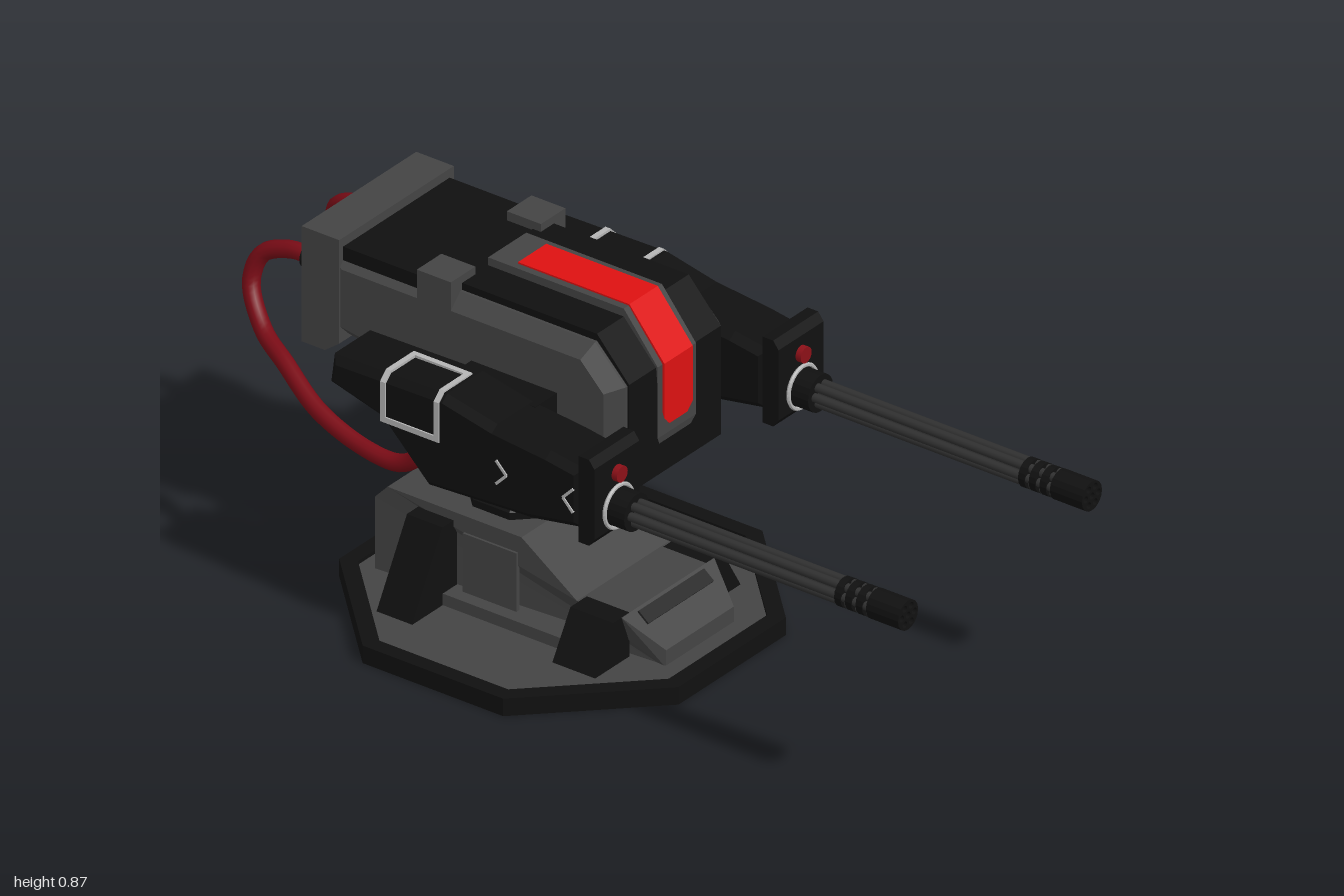
import * as THREE from 'three';

const mat = (color, flat = true) => new THREE.MeshStandardMaterial({ color, flatShading: flat });
const BLACK = mat(0x101010), GREY = mat(0x444444), DARK = mat(0x242424), RED = mat(0xdd1111);
const WHITE = mat(0xb4b4b4), STEEL = mat(0x303030, false), CABLE = mat(0x7a0c16, false), LAMP = mat(0x8c1018, false);

export function createModel() {
  const root = new THREE.Group();

  function add(parent, name, geo, material, x = 0, y = 0, z = 0) {
    const m = new THREE.Mesh(geo, material);
    m.name = name;
    m.position.set(x, y, z);
    parent.add(m);
    return m;
  }
  const group = (name) => {
    const g = new THREE.Group();
    g.name = name;
    root.add(g);
    return g;
  };
  const toShape = (pts) => new THREE.Shape(pts.map((p) => new THREE.Vector2(...p)));
  const box = (w, h, d) => new THREE.BoxGeometry(w, h, d);

  // side profile of [z, y] points, stretched across x from xa to xb, with chamfered rims
  function slab(profile, xa, xb, bevel = 0) {
    const x0 = Math.min(xa, xb), x1 = Math.max(xa, xb);
    return new THREE.ExtrudeGeometry(toShape(profile), {
      depth: x1 - x0 - 2 * bevel, bevelEnabled: bevel > 0, bevelSegments: 1,
      bevelSize: bevel, bevelThickness: bevel, bevelOffset: -bevel,
    }).rotateY(-Math.PI / 2).translate(x1 - bevel, 0, 0);
  }
  // front outline of [x, y] points, stretched along z from z0 to z1
  const prism = (shape, z0, z1) =>
    new THREE.ExtrudeGeometry(shape, { depth: z1 - z0, bevelEnabled: false, curveSegments: 8 }).translate(0, 0, z0);
  // narrows the vertices picked by a test
  function narrow(geo, test, k) {
    const p = geo.attributes.position;
    for (let i = 0; i < p.count; i++) if (test(p.getY(i), p.getZ(i))) p.setX(i, p.getX(i) * k);
    geo.computeVertexNormals();
    return geo;
  }
  // cylinder lying along z
  const rod = (r, z0, z1, sides = 16) =>
    new THREE.CylinderGeometry(r, r, z1 - z0, sides).rotateX(Math.PI / 2).translate(0, 0, (z0 + z1) / 2);

  // ---- base ----
  const base = group('base');
  const octagon = (flat) => Array.from({ length: 8 }, (_, i) => {
    const a = (i + 0.5) * Math.PI / 4, r = flat / Math.cos(Math.PI / 8);
    return new THREE.Vector2(r * Math.cos(a), r * Math.sin(a));
  });
  const rim = new THREE.Shape(octagon(0.475));
  rim.holes.push(new THREE.Path(octagon(0.435)));
  const plate = (shape, y0, y1) => prism(shape, 0, y1 - y0).rotateX(-Math.PI / 2).translate(0, y0, -0.225);
  add(base, 'plateRim', plate(rim, 0, 0.045), BLACK);
  add(base, 'plateFloor', plate(new THREE.Shape(octagon(0.436)), 0.004, 0.036), GREY);
  add(base, 'pedestal', narrow(slab([[0.16, 0.03], [0.16, 0.075], [0.07, 0.148], [-0.055, 0.148], [-0.21, 0.257],
    [-0.585, 0.257], [-0.62, 0.22], [-0.62, 0.03]], -0.17, 0.17), (y, z) => z > 0.1, 0.73), GREY);
  add(base, 'pedestalSkirt', box(0.42, 0.035, 0.5), GREY, 0, 0.048, -0.25);
  add(base, 'noseSlot', box(0.24, 0.012, 0.036), DARK, 0, 0.131, 0.09).rotation.x = 0.68;
  for (const s of [1, -1]) {
    add(base, 'sidePanel', box(0.012, 0.16, 0.15), GREY, s * 0.17, 0.135, -0.295);
    const fin = (top, xt, xb) => toShape([[s * 0.14, top], [s * xt, top], [s * xb, 0.03], [s * 0.14, 0.03]]);
    add(base, 'rearFin', prism(fin(0.235, 0.21, 0.325), -0.5, -0.4), BLACK);
    add(base, 'frontFin', prism(fin(0.148, 0.2, 0.27), -0.05, 0.07), BLACK);
  }

  // ---- swivel neck ----
  const neckProfile = [[0, 0.25], [0.135, 0.25], [0.135, 0.275], [0.07, 0.33], [0.07, 0.345], [0.09, 0.37], [0.09, 0.46], [0, 0.46]];
  add(root, 'neck', new THREE.LatheGeometry(neckProfile.map((p) => new THREE.Vector2(...p)), 8)
    .rotateY(Math.PI / 8), BLACK, 0, 0, -0.33);

  // ---- turret body ----
  const body = group('body');
  add(body, 'shell', slab([[0.085, 0.745], [0, 0.832], [-0.72, 0.832], [-0.72, 0.62], [-0.47, 0.58], [-0.38, 0.405],
    [0, 0.405], [0.085, 0.47]], -0.21, 0.21, 0.035), GREY);
  add(body, 'core', slab([[0.09, 0.75], [0, 0.85], [-0.4, 0.85], [-0.4, 0.5], [0, 0.43], [0.035, 0.43], [0.09, 0.472]],
    -0.168, 0.168), BLACK);
  add(body, 'rearDeck', box(0.39, 0.06, 0.32), BLACK, 0, 0.817, -0.54);
  add(body, 'rearBlock', slab([[-0.69, 0.87], [-0.69, 0.605], [-0.73, 0.575], [-0.795, 0.575], [-0.795, 0.87]],
    -0.21, 0.21), GREY);
  add(body, 'rearSlot', box(0.3, 0.02, 0.01), BLACK, 0, 0.825, -0.793);
  add(body, 'crest', narrow(slab([[-0.38, 0.87], [0, 0.87], [0.095, 0.752], [0.095, 0.57], [0.085, 0.53], [0, 0.53],
    [-0.06, 0.78], [-0.38, 0.78]], -0.07, 0.07), (y) => y < 0.55, 0.65), GREY);
  add(body, 'crestStripe', narrow(slab([[-0.31, 0.874], [0.002, 0.874], [0.1, 0.755], [0.1, 0.615], [0.1, 0.595],
    [0.05, 0.595], [0.05, 0.615], [-0.05, 0.8], [-0.31, 0.8]], -0.052, 0.052), (y) => y < 0.6, 0.62), RED);

  for (const s of [1, -1]) {
    add(body, 'shoulderLug', box(0.09, 0.08, 0.095), GREY, s * 0.165, 0.83, -0.425);
    add(body, 'gunArm', box(0.12, 0.11, 0.24), BLACK, s * 0.23, 0.635, -0.2);
    add(body, 'cableSocket', rod(0.03, -0.84, -0.79), BLACK, s * 0.13, 0.745, 0);

    // ---- gun pod ----
    const gun = group(s > 0 ? 'leftGun' : 'rightGun');
    add(gun, 'pod', slab([[0.145, 0.66], [0.05, 0.675], [-0.1, 0.69], [-0.24, 0.72], [-0.555, 0.715], [-0.565, 0.64],
      [-0.42, 0.6], [-0.29, 0.47], [0, 0.485], [0.145, 0.51]], s * 0.255, s * 0.42, 0.018), BLACK);
    add(gun, 'podFlange', slab([[0.185, 0.68], [0.17, 0.7], [0.14, 0.7], [0.14, 0.48], [0.17, 0.48], [0.185, 0.5]],
      s * 0.255, s * 0.42), BLACK);
    add(gun, 'podRearRail', box(0.05, 0.05, 0.4), BLACK, s * 0.245, 0.65, -0.35);

    // light frame bent over the upper outer edge
    const bent = toShape([[0.3, 0.724], [0.402, 0.724], [0.424, 0.702], [0.424, 0.6], [0.412, 0.6], [0.412, 0.697],
      [0.397, 0.712], [0.3, 0.712]].map(([x, y]) => [s * x, y]));
    for (const z of [-0.262, -0.412]) add(gun, 'frameSide', prism(bent, z, z + 0.014), WHITE);
    add(gun, 'frameTop', box(0.014, 0.012, 0.16), WHITE, s * 0.307, 0.718, -0.33);
    add(gun, 'frameBottom', box(0.012, 0.014, 0.16), WHITE, s * 0.418, 0.607, -0.33);

    // chevron marks on the outer side
    for (const [z, d] of [[0.112, 1], [-0.075, -1]])
      for (const k of [1, -1])
        add(gun, 'chevron', box(0.006, 0.007, 0.042), WHITE, s * 0.42, 0.58 + k * 0.015, z).rotation.x = -k * d * 0.8;

    // ---- rotary barrels ----
    const barrels = new THREE.Group();
    barrels.name = 'barrels';
    barrels.position.set(s * 0.337, 0.552, 0);
    gun.add(barrels);
    add(barrels, 'collar', rod(0.046, 0.18, 0.24, 20), BLACK);
    add(barrels, 'collarRing', new THREE.TorusGeometry(0.052, 0.005, 6, 32), WHITE, 0, 0, 0.19);
    const muzzle = new THREE.Shape().absarc(0, 0, 0.037, 0, Math.PI * 2);
    for (let i = 0; i < 7; i++) {
      const a = i * Math.PI / 3, r = i < 6 ? 0.023 : 0;
      const x = r * Math.cos(a), y = r * Math.sin(a);
      add(barrels, 'barrel', rod(0.0105, 0.2, 0.97, 10), STEEL, x, y);
      muzzle.holes.push(new THREE.Path().absarc(x, y, 0.0085, 0, Math.PI * 2, true));
    }
    add(barrels, 'muzzle', prism(muzzle, 0.91, 1), BLACK);
    for (const z of [0.82, 0.85, 0.88]) add(barrels, 'barrelClamp', rod(0.036, z, z + 0.018), BLACK);

    // indicator lamp
    add(gun, 'lamp', rod(0.02, 0.18, 0.2), LAMP, s * 0.337, 0.636);

    // ---- feed cable ----
    const path = new THREE.CatmullRomCurve3([[0.13, 0.745, -0.82], [0.13, 0.742, -0.89], [0.138, 0.71, -0.96],
      [0.155, 0.64, -0.978], [0.195, 0.56, -0.915], [0.25, 0.532, -0.81], [0.31, 0.485, -0.67], [0.335, 0.452, -0.52],
      [0.34, 0.452, -0.42], [0.34, 0.49, -0.365], [0.34, 0.55, -0.345]].map(([x, y, z]) => new THREE.Vector3(s * x, y, z)));
    add(gun, 'cable', new THREE.TubeGeometry(path, 60, 0.021, 10), CABLE);
    add(gun, 'cableSeat', new THREE.CylinderGeometry(0.032, 0.032, 0.05, 16), BLACK, s * 0.34, 0.535, -0.352);
  }
  return root;
}
